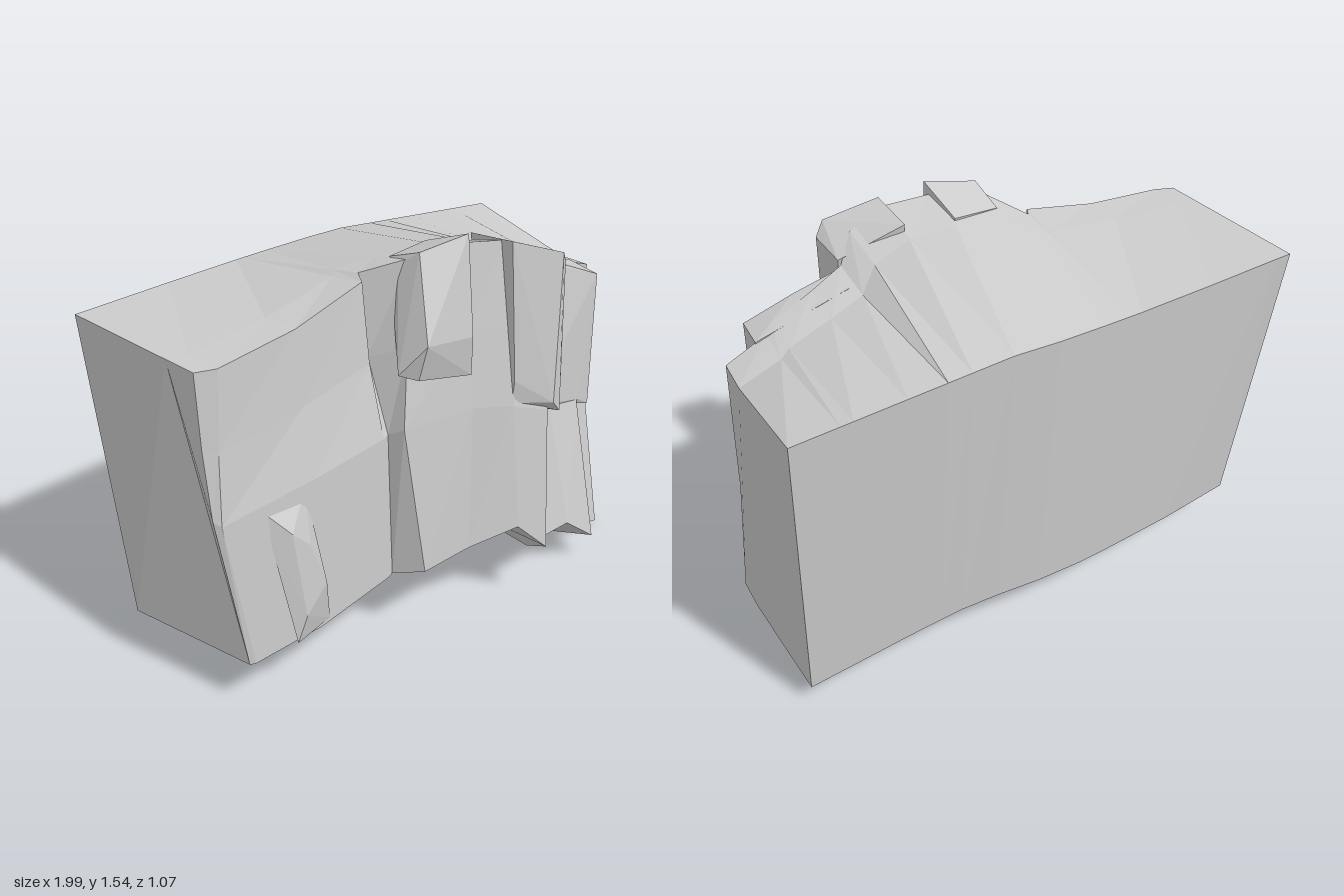
import * as THREE from 'three';
import { ConvexGeometry } from 'three/addons/geometries/ConvexGeometry.js';

const rock = new THREE.MeshStandardMaterial({ color: 0xcccccc, flatShading: true });

// Front profile of each station, left to right: top edge, mid crease, foot (x, y, z each)
const stations = [
  [-0.99, 1.32, 0.11, -0.99, 0.80, 0.15, -0.91, 0.20, 0.19],
  [-0.92, 1.32, 0.14, -0.97, 0.78, 0.17, -0.89, 0.20, 0.20],
  [-0.60, 1.35, 0.14, -0.60, 0.82, 0.21, -0.60, 0.21, 0.22],
  [-0.29, 1.42, 0.13, -0.28, 0.85, 0.22, -0.27, 0.26, 0.23],
  [-0.26, 1.43, 0.08, -0.26, 0.86, 0.22, -0.25, 0.27, 0.23],
  [-0.15, 1.49, 0.22, -0.25, 0.90, 0.29, -0.20, 0.31, 0.35],
  [0.04, 1.51, 0.28, 0.04, 0.90, 0.35, 0.02, 0.32, 0.37],
  [0.20, 1.49, 0.33, 0.20, 0.87, 0.41, 0.20, 0.37, 0.46],
  [0.34, 1.43, 0.33, 0.34, 0.82, 0.46, 0.29, 0.27, 0.53],
  [0.42, 1.35, 0.26, 0.35, 0.78, 0.34, 0.34, 0.19, 0.40],
  [0.55, 1.30, 0.24, 0.52, 0.74, 0.33, 0.52, 0.24, 0.46],
  [0.72, 1.24, 0.22, 0.69, 0.69, 0.34, 0.67, 0.12, 0.48],
  [0.76, 1.22, 0.19, 0.72, 0.64, 0.22, 0.71, 0.06, 0.32],
  [0.92, 1.16, 0.18, 0.915, 0.60, 0.22, 0.91, 0.015, 0.33],
];

const clamp01 = (v) => THREE.MathUtils.clamp(v, 0, 1);

// Closed ring for one station: down the front, under the foot, up the back, over the top
function ring(s) {
  const top = new THREE.Vector3(s[0], s[1], s[2]);
  const mid = new THREE.Vector3(s[3], s[4], s[5]);
  const foot = new THREE.Vector3(s[6], s[7], s[8]);
  const x = top.x;
  const right = Math.max(0, x);

  // the left part has a steep upper band above a leaning face
  const band = top.clone().lerp(mid, 0.52);
  if (x < -0.2) band.z = THREE.MathUtils.lerp(top.z, mid.z, 0.3);

  // back face leans, with its lower left corner rounded off
  const backZ = -0.53 + 0.087 * right - 0.01 * clamp01(1 - Math.abs(x + 0.4) / 0.5);
  const backTop = new THREE.Vector3(x + right * 0.087, 1.32 - 0.1 * Math.max(0, x - 0.2), backZ);
  const backBottom = new THREE.Vector3(
    x + right * 0.054,
    0.19 - 0.16 * Math.max(0, x - 0.3),
    backZ + 0.095 + 0.08 * clamp01((-x - 0.9) / 0.09) - 0.02 * clamp01(1 - Math.abs(x + 0.1) / 0.6),
  );

  // underside sags and the top dips towards the right
  const floor = foot.clone().lerp(backBottom, 0.2);
  if (x > 0.4) floor.y = Math.min(floor.y, 0.19 - 0.31 * (foot.x - 0.32));
  const crest = top.clone().lerp(backTop, 0.22);
  crest.y -= 0.025 * clamp01(x / 0.4);
  return [top, band, mid, foot, floor, backBottom, backTop, crest];
}

// Skin the rings and close both ends
function loft(rings) {
  const n = rings[0].length;
  const positions = rings.flat().flatMap((p) => p.toArray());
  const index = [];
  for (let r = 0; r < rings.length - 1; r++) {
    for (let i = 0; i < n; i++) {
      const a = r * n + i, b = r * n + ((i + 1) % n);
      index.push(a, b, a + n, b, b + n, a + n);
    }
  }
  // end caps fan out from the crest
  const end = (rings.length - 1) * n;
  for (let i = 0; i < n - 2; i++) {
    index.push(n - 1, i + 1, i);
    index.push(end + n - 1, end + i, end + i + 1);
  }
  const g = new THREE.BufferGeometry();
  g.setAttribute('position', new THREE.Float32BufferAttribute(positions, 3));
  g.setIndex(index);
  const flat = g.toNonIndexed();
  flat.computeVertexNormals();
  return flat;
}

// Faceted boulders set into the cliff face, given by their corners
const boulders = {
  crownBoulder: [
    [-0.15, 1.52, 0.26], [0.04, 1.55, 0.31], [-0.20, 1.22, 0.35], [0.02, 1.19, 0.36],
    [-0.20, 1.08, 0.31], [0.04, 1.03, 0.34], [-0.25, 1.10, 0.26], [-0.17, 1.46, 0.18],
    [-0.15, 1.47, 0.12], [0.03, 1.48, 0.12], [0.03, 1.03, 0.20],
  ],
  centreSlab: [
    [0.19, 1.50, 0.38], [0.38, 1.43, 0.46], [0.42, 1.38, 0.44], [0.42, 1.36, 0.28],
    [0.20, 0.97, 0.41], [0.20, 0.88, 0.40], [0.34, 0.86, 0.485], [0.40, 0.80, 0.47],
    [0.40, 0.77, 0.35], [0.20, 1.48, 0.18], [0.22, 0.95, 0.25],
  ],
  rightSlab: [
    [0.42, 1.34, 0.26], [0.60, 1.28, 0.29], [0.78, 1.20, 0.33], [0.805, 1.21, 0.18],
    [0.40, 0.77, 0.34], [0.70, 0.69, 0.34], [0.78, 0.64, 0.33], [0.80, 0.62, 0.22],
    [0.42, 0.78, 0.20], [0.45, 1.32, 0.15],
  ],
  leftRib: [
    [-0.81, 0.77, 0.18], [-0.63, 0.79, 0.19], [-0.73, 0.67, 0.235], [-0.66, 0.60, 0.245],
    [-0.73, 0.22, 0.24], [-0.56, 0.23, 0.22], [-0.60, 0.42, 0.255], [-0.70, 0.33, 0.26],
    [-0.70, 0.60, 0.12], [-0.66, 0.25, 0.15],
  ],
};

export function createModel() {
  const group = new THREE.Group();
  group.name = 'cliffBlock';
  const add = (name, geometry) => {
    const mesh = new THREE.Mesh(geometry, rock);
    mesh.name = name;
    group.add(mesh);
  };
  add('cliffBody', loft(stations.map(ring)));
  for (const [name, corners] of Object.entries(boulders)) {
    add(name, new ConvexGeometry(corners.map((c) => new THREE.Vector3(...c))));
  }
  return group;
}
